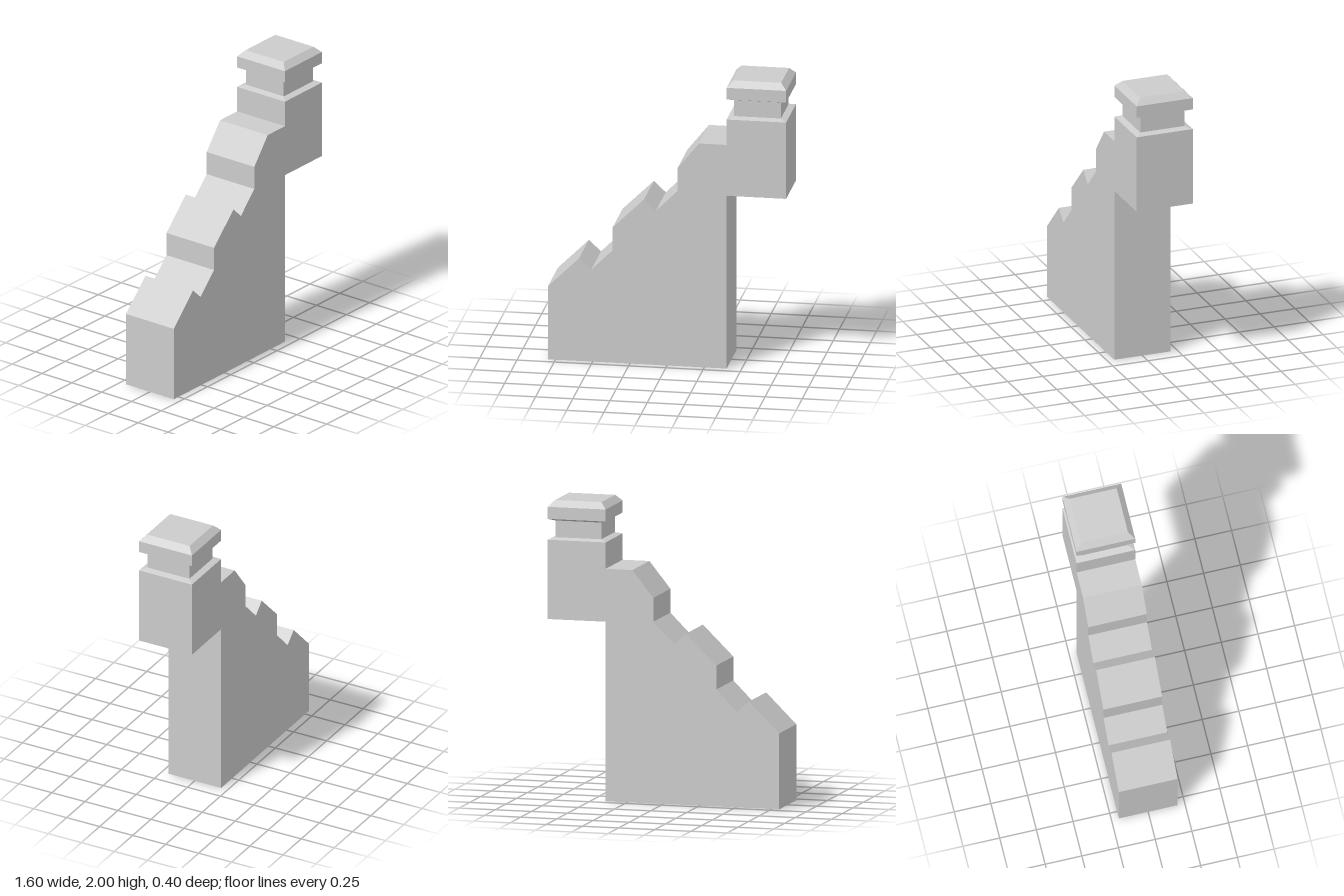
import * as THREE from 'three';

const material = new THREE.MeshStandardMaterial({ color: 0xcccccc, flatShading: true });

const DEPTH = 0.4;
const POST_X = 0.6;

function addMesh(parent, name, geometry) {
  const flat = geometry.index ? geometry.toNonIndexed() : geometry;
  flat.computeVertexNormals();
  const mesh = new THREE.Mesh(flat, material);
  mesh.name = name;
  parent.add(mesh);
  return mesh;
}

// Square turned section: profile of [half width, height] pairs, from bottom to top
function squareLathe(profile) {
  const points = profile.map(([half, y]) => new THREE.Vector2(half * Math.SQRT2, y));
  return new THREE.LatheGeometry(points, 4, Math.PI / 4);
}

export function createModel() {
  const group = new THREE.Group();
  group.name = 'steppedParapet';

  // Wall with a stepped, notched upper edge
  const outline = [
    [-0.8, 0], [0.4, 0], [0.4, 1.56], [0.215, 1.56],
    [0.07, 1.38], [0.07, 1.22], [-0.075, 1.075], [-0.155, 1.15],
    [-0.365, 0.945], [-0.365, 0.785], [-0.51, 0.64], [-0.592, 0.715],
    [-0.8, 0.51],
  ];
  const shape = new THREE.Shape(outline.map(([x, y]) => new THREE.Vector2(x, y)));
  const wall = new THREE.ExtrudeGeometry(shape, { depth: DEPTH, bevelEnabled: false });
  wall.translate(0, 0, -DEPTH / 2);
  addMesh(group, 'steppedWall', wall);

  // Overhanging post: block, recessed neck and chamfered cap
  const post = new THREE.Group();
  post.name = 'cornerPost';
  post.position.x = POST_X;
  group.add(post);

  addMesh(post, 'postBlock', squareLathe([[0, 1.205], [0.2, 1.205], [0.2, 1.737], [0.158, 1.75]]));
  addMesh(post, 'postNeck', squareLathe([[0.158, 1.75], [0.158, 1.862]]));
  addMesh(post, 'postCap', squareLathe([[0.158, 1.862], [0.2, 1.877], [0.2, 1.958], [0.16, 2], [0, 2]]));

  return group;
}
